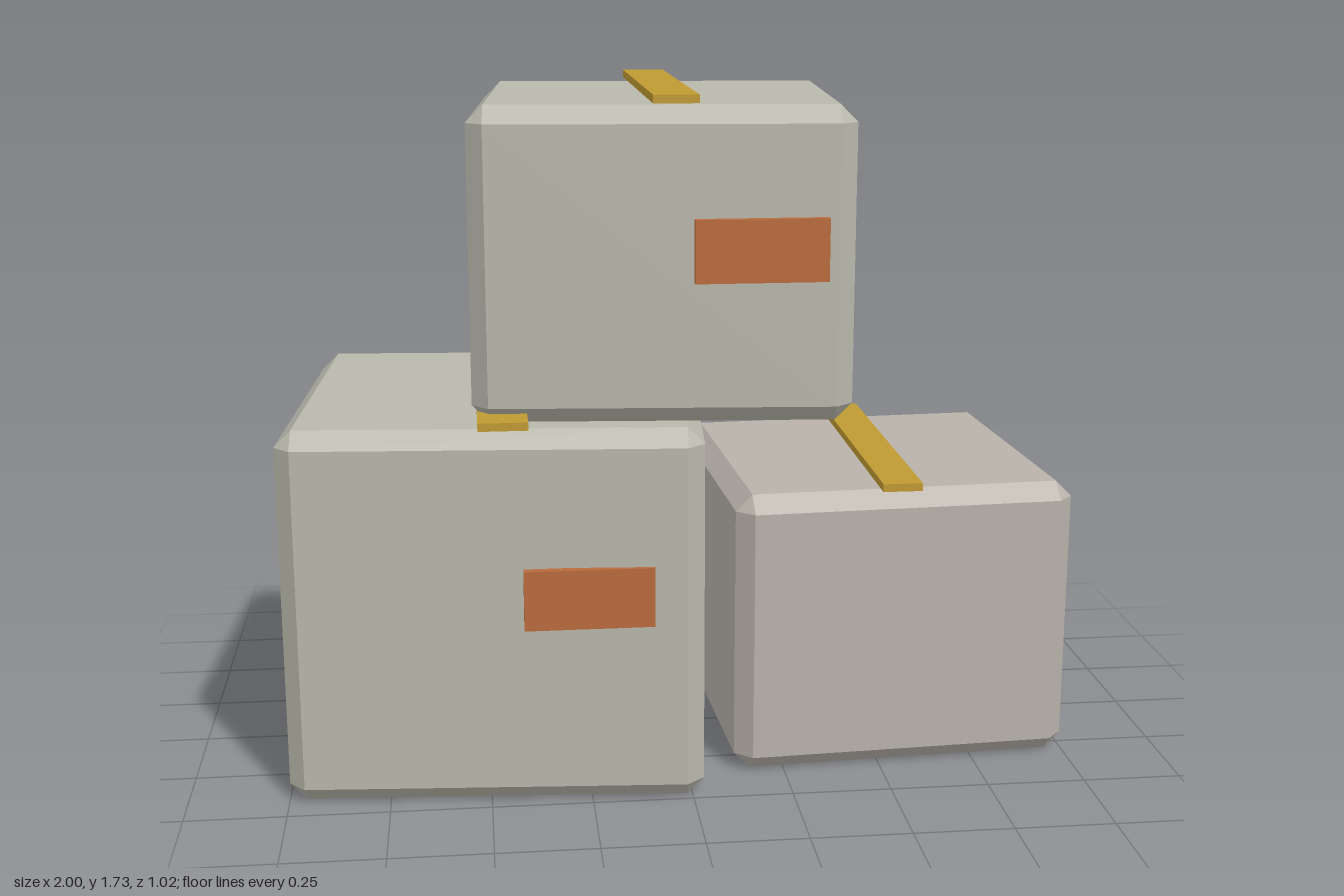
import * as THREE from 'three';
import { ConvexGeometry } from 'three/addons/geometries/ConvexGeometry.js';

const material = (name, color) => {
  const m = new THREE.MeshStandardMaterial({ color });
  m.name = name;
  return m;
};

// Box with flat chamfers on every edge and corner
function chamferedBox(w, h, d, c) {
  const points = [];
  for (const x of [-1, 1]) for (const y of [-1, 1]) for (const z of [-1, 1]) {
    const [a, b, e] = [w / 2, h / 2, d / 2];
    points.push(
      new THREE.Vector3(x * a, y * (b - c), z * (e - c)),
      new THREE.Vector3(x * (a - c), y * b, z * (e - c)),
      new THREE.Vector3(x * (a - c), y * (b - c), z * e));
  }
  return new ConvexGeometry(points);
}

export function createModel() {
  const group = new THREE.Group();
  const grey = material('crate grey', 0xb8b8ac);
  const warm = material('warm crate grey', 0xb8b2aa);
  const gold = material('strap gold', 0xc09a32);
  const rust = material('label rust', 0xb96b3c);

  const add = (name, geometry, mat, x, y, z, turn = 0) => {
    const mesh = new THREE.Mesh(geometry, mat);
    mesh.name = name;
    mesh.position.set(x, y, z);
    mesh.rotation.y = turn;
    group.add(mesh);
  };

  // Each crate is turned slightly; straps and labels stay square to the front
  const crates = [
    { name: 'large', mat: grey, size: [1.03, 0.947, 0.956], at: [-0.455, 0, 0], turn: -0.07,
      strap: [0.12, 0.978], label: [-0.255, 0.535] },
    { name: 'small', mat: warm, size: [0.877, 0.733, 0.827], at: [0.54, 0, -0.064], turn: 0.056,
      strap: [0.1, 0.857] },
    { name: 'top', mat: grey, size: [0.92, 0.76, 0.83], at: [-0.04, 0.947, 0.028], turn: -0.075,
      strap: [0.108, 0.858], label: [0.157, 1.375] },
  ];

  for (const { name, mat, size: [w, h, d], at: [x, y, z], turn, strap, label } of crates) {
    add(name + 'Crate', chamferedBox(w, h, d, 0.042), mat, x, y + h / 2, z, turn);
    add(name + 'Strap', new THREE.BoxGeometry(strap[0], 0.02, strap[1]), gold, x, y + h + 0.0165, z);
    if (label) {
      add(name + 'Label', new THREE.BoxGeometry(0.317, 0.15, 0.022), rust, label[0], label[1], 0.501);
    }
  }
  return group;
}
